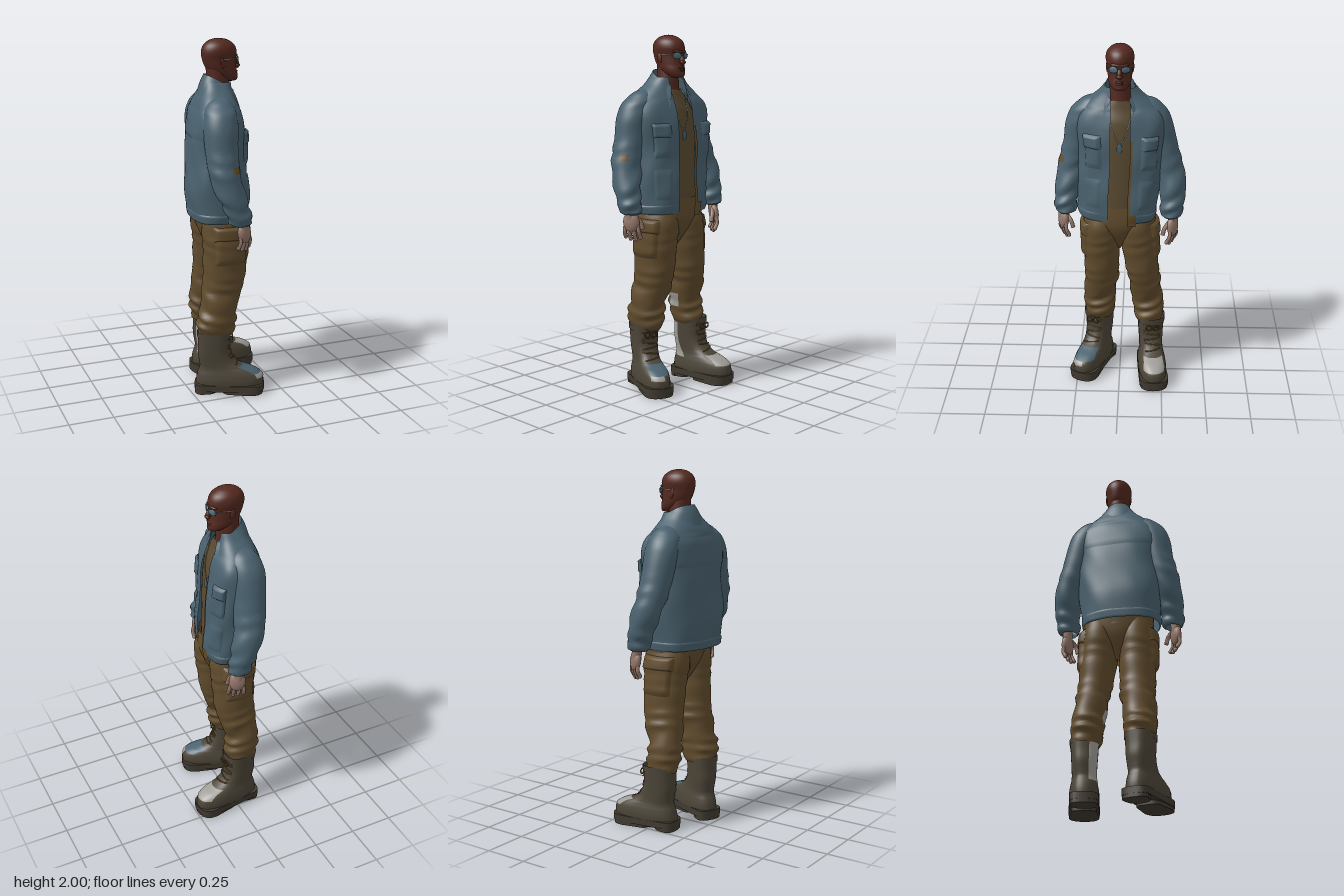
import * as THREE from 'three';
import { mergeVertices } from 'three/addons/utils/BufferGeometryUtils.js';

const mat = (name, color) => {
  const m = new THREE.MeshStandardMaterial({ color, side: THREE.DoubleSide });
  m.name = name;
  return m;
};
const M = {
  denim: mat('denim blue', 0x4a626f), khaki: mat('khaki trousers', 0x614c2d), skin: mat('dark skin', 0x54291f),
  hand: mat('hand skin', 0x94776a), boot: mat('boot leather', 0x4c4538), sole: mat('sole', 0x403a30),
  grey: mat('worn grey', 0x9f9d97), glass: mat('lens blue', 0x4a6f7e), shirt: mat('shirt', 0x5a4b32),
  tan: mat('tan lining', 0x684f28),
};

function add(parent, name, geo, material, pos = [0, 0, 0], rot = [0, 0, 0], scale = [1, 1, 1]) {
  const m = new THREE.Mesh(geo, material);
  m.name = name;
  m.position.set(...pos); m.rotation.set(...rot); m.scale.set(...scale);
  parent.add(m);
}

// Smooth interpolation of cross-section rows [y, cx, cz, rx, rz] by height
function rowAt(rows, y) {
  let i = 0;
  while (i < rows.length - 2 && y > rows[i + 1][0]) i++;
  const a = rows[i], b = rows[i + 1], h = b[0] - a[0], t = (y - a[0]) / h;
  const slope = (j, k) => {
    const p = rows[Math.max(0, j - 1)], q = rows[Math.min(rows.length - 1, j + 1)];
    return (q[k] - p[k]) / (q[0] - p[0]);
  };
  return a.map((v, k) => {
    const r = v * (2 * t ** 3 - 3 * t * t + 1) + b[k] * (3 * t * t - 2 * t ** 3)
      + h * (slope(i, k) * (t ** 3 - 2 * t * t + t) + slope(i + 1, k) * (t ** 3 - t * t));
    return k >= 3 ? Math.max(0.001, r) : r;
  });
}

// Surface through the rows: angle 0 faces +x, a quarter turn faces +z
const surface = (rows, { p = 1, fold = () => 0, bend = v => v } = {}) => {
  const f = (y, a, off = 0) => {
    const [, cx, cz, rx, rz] = rowAt(rows, y), c = Math.cos(a), s = Math.sin(a), w = off + fold(y, a);
    return bend(new THREE.Vector3(cx + (rx + w) * Math.sign(c) * Math.abs(c) ** p, y,
      cz + (rz + w) * Math.sign(s) * Math.abs(s) ** p), a);
  };
  f.rows = rows;
  return f;
};

// Mesh grid over a surface; a0 and a1 may depend on height, puff swells the middle of a patch
function skin(f, { y0, y1, a0 = 0, a1 = Math.PI * 2, off = 0, puff = 0, n = 40, k = 8 } = {}) {
  let ys = [];
  if (y0 === undefined) {
    f.rows.slice(0, -1).forEach((r, i) => {
      for (let j = 0; j < k; j++) ys.push(r[0] + (f.rows[i + 1][0] - r[0]) * j / k);
    });
    ys.push(f.rows.at(-1)[0]);
  } else ys = Array.from({ length: k * 2 + 1 }, (_, i) => y0 + (y1 - y0) * i / (k * 2));
  const val = (a, y) => (typeof a === 'function' ? a(y) : a);
  const pos = [], idx = [];
  ys.forEach((y, j) => {
    for (let i = 0; i <= n; i++) {
      const s = val(a0, y), e = val(a1, y), u = i / n, v = j / (ys.length - 1);
      const swell = puff * Math.min(1, 7 * Math.min(u, 1 - u, v, 1 - v));
      pos.push(...f(y, s + (e - s) * u, off + swell).toArray());
      if (j && i) {
        const d = j * (n + 1) + i, c = d - 1, b = d - n - 1, a = b - 1;
        idx.push(a, c, b, b, c, d);
      }
    }
  });
  const g = new THREE.BufferGeometry();
  g.setAttribute('position', new THREE.Float32BufferAttribute(pos, 3));
  g.setIndex(idx);
  const merged = mergeVertices(g, 1e-5);
  merged.computeVertexNormals();
  return merged;
}
const tube = (pts, r, seg = 16) => new THREE.TubeGeometry(
  new THREE.CatmullRomCurve3(pts.map(p => new THREE.Vector3(...p))), seg, r, 6);
const ball = new THREE.SphereGeometry(1, 20, 14);

function makeHead() {
  const g = new THREE.Group(); g.name = 'head';
  add(g, 'skull', skin(surface([[1.765, 0.03, 0, 0.01, 0.01], [1.772, 0.025, 0, 0.04, 0.035], [1.8, 0.0, 0, 0.068, 0.058],
    [1.84, -0.025, 0, 0.086, 0.066], [1.89, -0.036, 0, 0.096, 0.07], [1.93, -0.037, 0, 0.099, 0.077],
    [1.965, -0.038, 0, 0.085, 0.068], [1.988, -0.04, 0, 0.055, 0.044], [1.997, -0.04, 0, 0.027, 0.022],
    [2.0, -0.04, 0, 0.001, 0.001]])), M.skin);
  add(g, 'neck', skin(surface([[1.6, -0.05, 0, 0.08, 0.075], [1.7, -0.05, 0, 0.07, 0.065],
    [1.77, -0.045, 0, 0.062, 0.058], [1.84, -0.05, 0, 0.06, 0.055]])), M.skin);
  add(g, 'nose', ball, M.skin, [0.064, 1.862, 0], [0, 0, 0.35], [0.016, 0.03, 0.014]);
  add(g, 'noseTip', ball, M.skin, [0.07, 1.85, 0], [0, 0, 0], [0.016, 0.011, 0.018]);
  add(g, 'brow', ball, M.skin, [0.045, 1.908, 0], [0, 0, 0], [0.02, 0.012, 0.05]);
  for (const y of [1.818, 1.806]) add(g, 'lip', ball, M.skin, [0.058, y, 0], [0, 0, 0], [0.012, 0.007, 0.024]);
  add(g, 'chin', ball, M.skin, [0.05, 1.785, 0], [0, 0, 0], [0.02, 0.018, 0.026]);
  for (const s of [1, -1]) {
    add(g, 'ear', ball, M.skin, [-0.04, 1.872, s * 0.069], [0, s * 0.3, 0.15], [0.015, 0.028, 0.006]);
    add(g, 'lens', ball, M.glass, [0.059, 1.885, s * 0.033], [0, -s * 0.4, 0], [0.006, 0.018, 0.026]);
    add(g, 'templeArm', tube([[0.056, 1.892, s * 0.054], [0.02, 1.893, s * 0.064], [-0.05, 1.887, s * 0.072]], 0.002), M.grey);
  }
  add(g, 'glassesBridge', tube([[0.064, 1.89, 0.014], [0.07, 1.893, 0], [0.064, 1.89, -0.014]], 0.002), M.grey);
  return g;
}

function makeJacket() {
  const g = new THREE.Group(); g.name = 'jacket';
  const rows = [[1.02, -0.05, 0.015, 0.163, 0.215], [1.06, -0.05, 0.015, 0.168, 0.222], [1.2, -0.06, 0.01, 0.172, 0.232],
    [1.4, -0.06, 0, 0.16, 0.238], [1.55, -0.06, 0, 0.148, 0.248], [1.62, -0.062, 0, 0.132, 0.232],
    [1.68, -0.065, 0, 0.108, 0.178], [1.73, -0.06, 0, 0.088, 0.12], [1.77, -0.055, 0, 0.08, 0.086]];
  const P = 0.78, bend = v => { v.x -= 0.12 * v.z; return v; };
  const fold = (y, a) => y > 1.65 ? 0 : 0.004 * Math.sin(y * 22 + 3 * Math.sin(a)) * Math.sin(a * 5);
  const f = surface(rows, { p: P, bend, fold });
  const edge = gap => y => Math.asin(Math.min(0.95, (gap / rowAt(rows, y)[4]) ** (1 / P)));
  const left = edge(0.05), right = y => 2 * Math.PI - edge(0.058)(y);
  add(g, 'jacketBody', skin(f, { a0: left, a1: right, n: 64 }), M.denim);
  add(g, 'hemBand', skin(f, { y0: 1.02, y1: 1.07, a0: left, a1: right, off: 0.001, puff: 0.004, n: 64 }), M.denim);
  const lining = (y0, y1, gap) => add(g, 'lining', skin(f, { y0, y1, off: 0.006, n: 4,
    a0: y => -edge(gap)(y), a1: y => -edge(0.056)(y) }), M.tan);
  lining(1.0, 1.075, 0.105);
  lining(1.075, 1.5, 0.07);
  const flap = (name, y0, y1, a0, a1, puff) => add(g, name, skin(f, { y0, y1, a0, a1, off: 0.002, puff, n: 16, k: 6 }), M.denim);
  for (const s of [1, -1]) {
    const span = s > 0 ? [0.32, 0.85] : [-0.95, -0.4];
    flap('chestPocket', 1.33, 1.49, ...span, 0.009);
    flap('chestPocketFlap', 1.44, 1.52, ...span, 0.016);
    flap('sidePocket', 1.1, 1.27, ...span, 0.005);
  }
  flap('backYoke', 1.48, 1.64, Math.PI - 0.95, Math.PI + 0.95, 0.004);
  // Fold-down collar, lower at the front
  const collar = drop => ({ p: 0.95, bend: (v, a) => {
    v.y -= drop * ((1 + Math.cos(a)) / 2) ** 1.3;
    return bend(v);
  } });
  const c0 = 0.65, c1 = Math.PI * 2 - c0;
  add(g, 'collarStand', skin(surface([[1.72, -0.04, 0, 0.1, 0.105], [1.81, -0.035, 0, 0.088, 0.08]], collar(0.1)), { a0: c0, a1: c1 }), M.denim);
  add(g, 'collarFall', skin(surface([[1.7, -0.035, 0, 0.13, 0.14], [1.77, -0.035, 0, 0.108, 0.104],
    [1.81, -0.035, 0, 0.088, 0.08]], collar(0.11)), { a0: c0, a1: c1 }), M.denim);
  // Sleeves: smooth rounded shoulders, uneven bunching towards the wrists
  const crease = (y, a) => Math.min(0.007, Math.max(0.001, (1.5 - y) * 0.025))
    * Math.sin(y * 58 + 2.2 * Math.sin(a) + 1.3 * Math.sin(y * 23)) * (0.6 + 0.4 * Math.sin(2 * a + y * 12));
  const sleeves = [
    [[1.03, -0.03, 0.308, 0.045, 0.045], [1.04, -0.03, 0.308, 0.058, 0.056], [1.1, -0.045, 0.306, 0.068, 0.063],
      [1.2, -0.08, 0.29, 0.079, 0.076], [1.3, -0.105, 0.266, 0.085, 0.084], [1.45, -0.11, 0.228, 0.09, 0.088],
      [1.55, -0.107, 0.21, 0.094, 0.092], [1.62, -0.102, 0.186, 0.088, 0.088], [1.66, -0.095, 0.16, 0.074, 0.076],
      [1.69, -0.09, 0.14, 0.05, 0.055], [1.71, -0.085, 0.12, 0.01, 0.01]],
    [[1.03, 0.025, -0.285, 0.045, 0.045], [1.04, 0.025, -0.286, 0.058, 0.056], [1.1, 0.012, -0.294, 0.068, 0.065],
      [1.2, -0.015, -0.294, 0.078, 0.077], [1.3, -0.042, -0.272, 0.084, 0.084], [1.45, -0.06, -0.228, 0.09, 0.087],
      [1.55, -0.065, -0.202, 0.096, 0.09], [1.62, -0.065, -0.178, 0.09, 0.086], [1.66, -0.062, -0.155, 0.076, 0.076],
      [1.69, -0.06, -0.138, 0.05, 0.055], [1.71, -0.058, -0.12, 0.01, 0.01]],
  ];
  sleeves.forEach((r, i) => {
    const s = surface(r, { fold: crease });
    add(g, 'sleeve', skin(s), M.denim);
    add(g, 'cuff', skin(s, { y0: 1.04, y1: 1.085, off: 0.003 }), M.denim);
    if (!i) add(g, 'elbowPatch', skin(s, { y0: 1.32, y1: 1.355, a0: 0.7, a1: 1.3, off: 0.003, n: 10 }), M.tan);
  });
  return g;
}

function makeHand(name, x, y, z, side) {
  const g = new THREE.Group(); g.name = name;
  add(g, 'wrist', new THREE.CylinderGeometry(0.026, 0.025, 0.08, 14), M.hand, [0, 0.04, 0]);
  add(g, 'palm', ball, M.hand, [0.004, -0.01, 0], [0, 0, 0], [0.042, 0.053, 0.024]);
  for (let i = 0; i < 4; i++) {
    const fx = -0.029 + i * 0.021, l = [0.045, 0.058, 0.063, 0.055][i];
    add(g, 'finger', tube([[fx, -0.03, 0], [fx * 1.15, -0.03 - l * 0.55, 0], [fx * 1.2, -0.035 - l, -side * 0.016]], 0.0105, 8), M.hand);
    add(g, 'fingertip', ball, M.hand, [fx * 1.2, -0.035 - l, -side * 0.016], [0, 0, 0], [0.0105, 0.011, 0.0105]);
  }
  add(g, 'thumb', tube([[0.02, 0.015, -side * 0.01], [0.045, -0.015, -side * 0.024], [0.05, -0.05, -side * 0.034]], 0.012, 8), M.hand);
  g.position.set(x, y, z);
  g.rotation.set(-side * 0.1, side * 0.5, 0.15);
  g.scale.setScalar(1.1);
  return g;
}

function makeTrousers() {
  const g = new THREE.Group(); g.name = 'trousers';
  add(g, 'hips', skin(surface([[0.82, -0.035, 0, 0.05, 0.012], [0.87, -0.035, 0, 0.09, 0.04], [0.94, -0.035, 0, 0.125, 0.12],
    [1.0, -0.035, 0, 0.138, 0.19], [1.1, -0.045, 0, 0.14, 0.2]], { p: 0.9 })), M.khaki);
  const fold = (y, a) => (y < 0.62 ? 0.008 : 0.003)
    * Math.sin(y * 70 + 2.5 * Math.sin(a + 0.6) + 1.5 * Math.sin(y * 29)) * (0.6 + 0.4 * Math.cos(2 * a + y * 15));
  const legs = [
    [[0.335, -0.105, 0.115, 0.085, 0.07], [0.36, -0.105, 0.116, 0.1, 0.082], [0.42, -0.102, 0.122, 0.112, 0.092],
      [0.5, -0.09, 0.118, 0.104, 0.092], [0.6, -0.065, 0.108, 0.116, 0.096], [0.7, -0.048, 0.106, 0.122, 0.1],
      [0.85, -0.038, 0.106, 0.13, 0.104], [0.96, -0.035, 0.102, 0.138, 0.104], [1.04, -0.04, 0.1, 0.12, 0.09]],
    [[0.335, -0.05, -0.172, 0.085, 0.07], [0.36, -0.05, -0.172, 0.092, 0.082], [0.42, -0.058, -0.168, 0.096, 0.09],
      [0.5, -0.06, -0.158, 0.096, 0.09], [0.6, -0.04, -0.143, 0.11, 0.09], [0.7, -0.028, -0.128, 0.118, 0.096],
      [0.85, -0.028, -0.11, 0.125, 0.104], [0.96, -0.033, -0.102, 0.135, 0.104], [1.04, -0.04, -0.1, 0.12, 0.09]],
  ];
  legs.forEach((r, i) => {
    const f = surface(r, { fold, p: 0.93 }), m = i ? -Math.PI / 2 : Math.PI / 2;
    add(g, 'trouserLeg', skin(f), M.khaki);
    add(g, 'cargoPocket', skin(f, { y0: 0.77, y1: 0.96, a0: m - 0.75, a1: m + 0.75, off: 0.002, puff: 0.014, n: 20 }), M.khaki);
    add(g, 'cargoFlap', skin(f, { y0: 0.91, y1: 0.99, a0: m - 0.8, a1: m + 0.8, off: 0.003, puff: 0.018, n: 20 }), M.khaki);
    if (i) add(g, 'wornCalf', skin(f, { y0: 0.44, y1: 0.52, a0: 1.3, a1: 2.0, off: 0.002, n: 8 }), M.grey);
  });
  return g;
}

function makeBoot(name, x, z, yaw) {
  const g = new THREE.Group(); g.name = name;
  const f = surface([[0.035, 0, 0, 0.192, 0.078], [0.08, 0.002, 0, 0.193, 0.082], [0.115, -0.001, 0, 0.183, 0.078],
    [0.14, -0.016, 0, 0.158, 0.072], [0.158, -0.04, 0, 0.13, 0.068], [0.185, -0.066, 0, 0.107, 0.067], [0.24, -0.087, 0, 0.094, 0.07],
    [0.3, -0.089, 0, 0.09, 0.074], [0.37, -0.088, 0, 0.092, 0.078]], { p: 0.8 });
  const patch = (label, material, y0, y1, a0, a1) => add(g, label, skin(f, { y0, y1, a0, a1, off: 0.003, n: 14 }), material);
  add(g, 'bootUpper', skin(f), M.boot);
  add(g, 'bootRim', skin(f, { y0: 0.335, y1: 0.365, off: 0.004 }), M.boot);
  if (name === 'leftBoot') {
    patch('toeCap', M.grey, 0.112, 0.16, -0.8, 0.8);
    patch('wornSide', M.grey, 0.13, 0.35, 1.9, 2.9);
  } else {
    patch('toePatch', M.denim, 0.122, 0.166, -0.85, 0.75);
    patch('toeTip', M.grey, 0.098, 0.122, -0.1, 0.7);
  }
  // Sole outline with rounded ends, and a raised arch before the heel
  const slab = (x0, x1, w0, w1, h) => {
    const s = new THREE.Shape(), r = 0.05;
    s.moveTo(x0 + r, -w0); s.lineTo(x1 - 0.08, -w1); s.bezierCurveTo(x1 - 0.02, -w1, x1, -w1 * 0.6, x1, 0);
    s.bezierCurveTo(x1, w1 * 0.6, x1 - 0.02, w1, x1 - 0.08, w1); s.lineTo(x0 + r, w0);
    s.bezierCurveTo(x0 + 0.01, w0, x0, w0 * 0.6, x0, 0); s.bezierCurveTo(x0, -w0 * 0.6, x0 + 0.01, -w0, x0 + r, -w0);
    return new THREE.ExtrudeGeometry(s, { depth: h, bevelEnabled: false, curveSegments: 10 }).rotateX(-Math.PI / 2);
  };
  add(g, 'soleMid', slab(-0.2, 0.199, 0.076, 0.085, 0.037), M.sole, [0, 0.02, 0]);
  add(g, 'soleFront', slab(-0.04, 0.194, 0.07, 0.082, 0.022), M.sole);
  add(g, 'heel', slab(-0.199, -0.07, 0.073, 0.07, 0.022), M.sole);
  // Laces crossing the tongue, with a small bow
  for (let i = 0; i < 6; i++) {
    const y = 0.185 + i * 0.028, s = i % 2 ? 1 : -1;
    add(g, 'lace', tube([-0.6, -0.3, 0.3, 0.6].map(a => f(y + s * a * 0.012, a, 0.003).toArray()), 0.004, 10), M.tan);
  }
  for (const s of [1, -1]) add(g, 'laceLoop', new THREE.TorusGeometry(0.016, 0.004, 6, 14), M.tan, [0.015, 0.32, s * 0.02], [s * 0.5, Math.PI / 2, 0]);
  g.position.set(x, 0, z);
  g.rotation.y = yaw;
  return g;
}

export function createModel() {
  const root = new THREE.Group(); root.name = 'standingMan';
  root.add(makeHead(), makeJacket(), makeTrousers());
  // Shirt and pendant under the open jacket
  const shirt = surface([[1.0, -0.04, 0, 0.135, 0.17], [1.2, -0.045, 0, 0.135, 0.17], [1.45, -0.05, 0, 0.128, 0.18],
    [1.58, -0.055, 0, 0.115, 0.17], [1.65, -0.06, 0, 0.095, 0.13], [1.7, -0.055, 0, 0.078, 0.08]]);
  add(root, 'shirt', skin(shirt), M.shirt);
  const chain = [[1.66, -0.6], [1.56, -0.25], [1.48, 0], [1.56, 0.25], [1.66, 0.6]];
  add(root, 'chain', tube(chain.map(([y, a]) => shirt(y, a, 0.003).toArray()), 0.002, 24), M.grey);
  add(root, 'pendant', ball, M.denim, [0.083, 1.45, 0], [0, 0, 0], [0.005, 0.03, 0.015]);
  root.add(makeHand('rightHand', -0.02, 1.0, 0.322, 1), makeHand('leftHand', 0.035, 0.985, -0.3, -1));
  root.add(makeBoot('rightBoot', -0.036, 0.158, -0.4), makeBoot('leftBoot', 0.05, -0.192, 0.1));
  return root;
}
